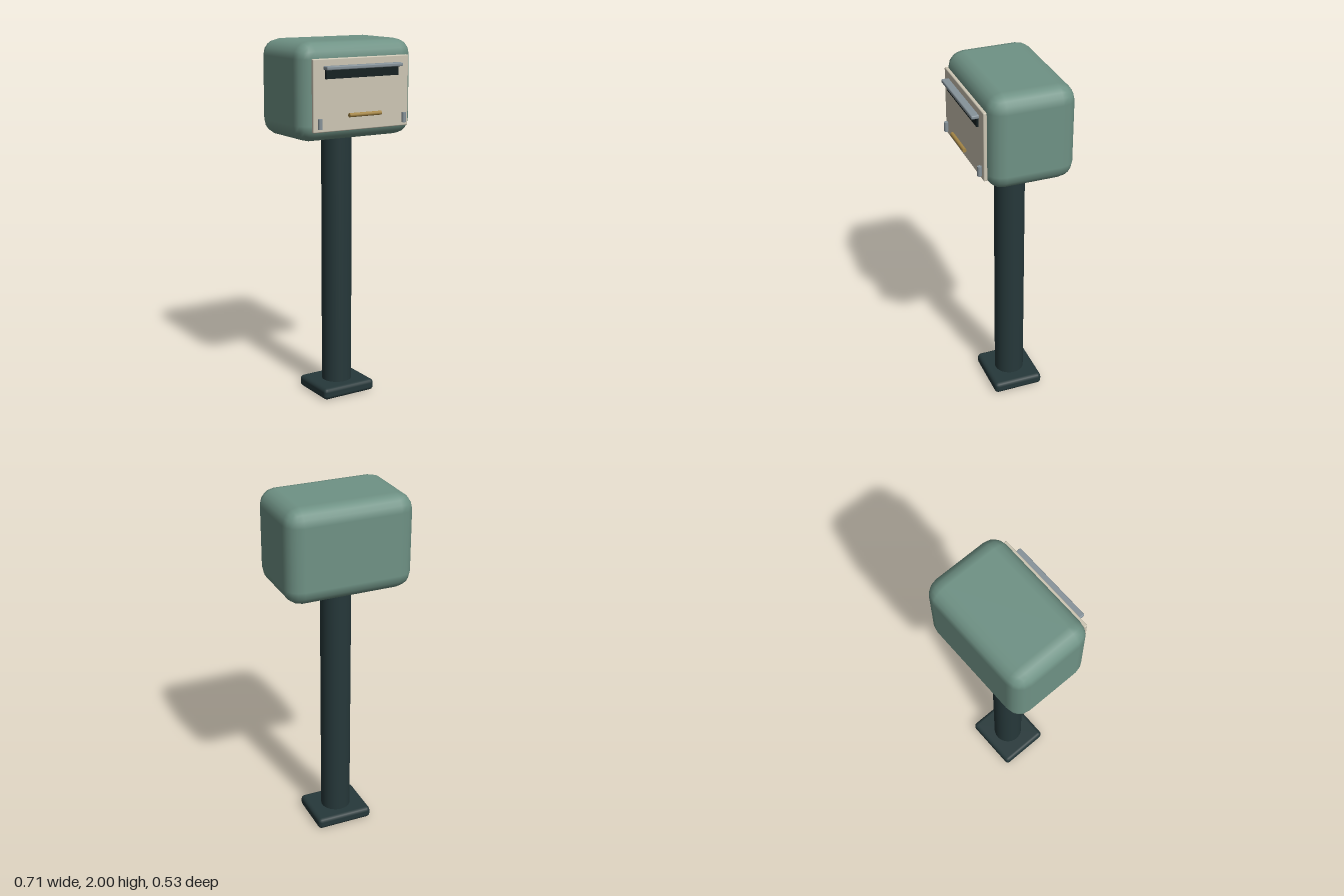
import * as THREE from 'three';
import { RoundedBoxGeometry } from 'three/addons/geometries/RoundedBoxGeometry.js';

const paint = (color) => new THREE.MeshStandardMaterial({ color });

export function createModel() {
  const model = new THREE.Group();
  const green = paint(0x6f9285);
  const dark = paint(0x26383a);
  const cream = paint(0xcdc6b4);
  const black = paint(0x142021);
  const steel = paint(0x87939a);
  const brass = paint(0xa58646);

  const add = (name, geometry, material, x, y, z) => {
    const mesh = new THREE.Mesh(geometry, material);
    mesh.name = name;
    mesh.position.set(x, y, z);
    model.add(mesh);
    return mesh;
  };
  // Rounded box given by its size, corner radius and centre
  const block = (name, [w, h, d], r, material, x, y, z) =>
    add(name, new RoundedBoxGeometry(w, h, d, 2, r), material, x, y, z);

  // Stand
  const axisZ = -0.03;
  block('basePlate', [0.328, 0.065, 0.29], 0.022, dark, 0, 0.0325, axisZ);
  add('post', new THREE.CylinderGeometry(0.084, 0.084, 1.48, 32), dark, 0, 0.76, axisZ);

  // Box body
  block('body', [0.71, 0.52, 0.472], 0.088, green, 0, 1.74, axisZ);

  // Front door with its mail slot and rain hood
  block('door', [0.594, 0.38, 0.02], 0.006, cream, 0, 1.726, 0.213);
  add('mailSlot', new THREE.BoxGeometry(0.452, 0.05, 0.014), black, 0, 1.837, 0.227);
  block('slotHood', [0.472, 0.02, 0.043], 0.006, steel, 0, 1.869, 0.241);

  // Pull bar
  const bar = add('handle', new THREE.CylinderGeometry(0.011, 0.011, 0.198, 16), brass, 0, 1.621, 0.255);
  bar.rotation.z = Math.PI / 2;

  // Hinge barrels at the lower corners
  for (const side of [-1, 1]) {
    add(side > 0 ? 'leftHinge' : 'rightHinge',
      new THREE.CylinderGeometry(0.0118, 0.0118, 0.054, 16), steel, side * 0.263, 1.583, 0.234);
  }

  return model;
}
